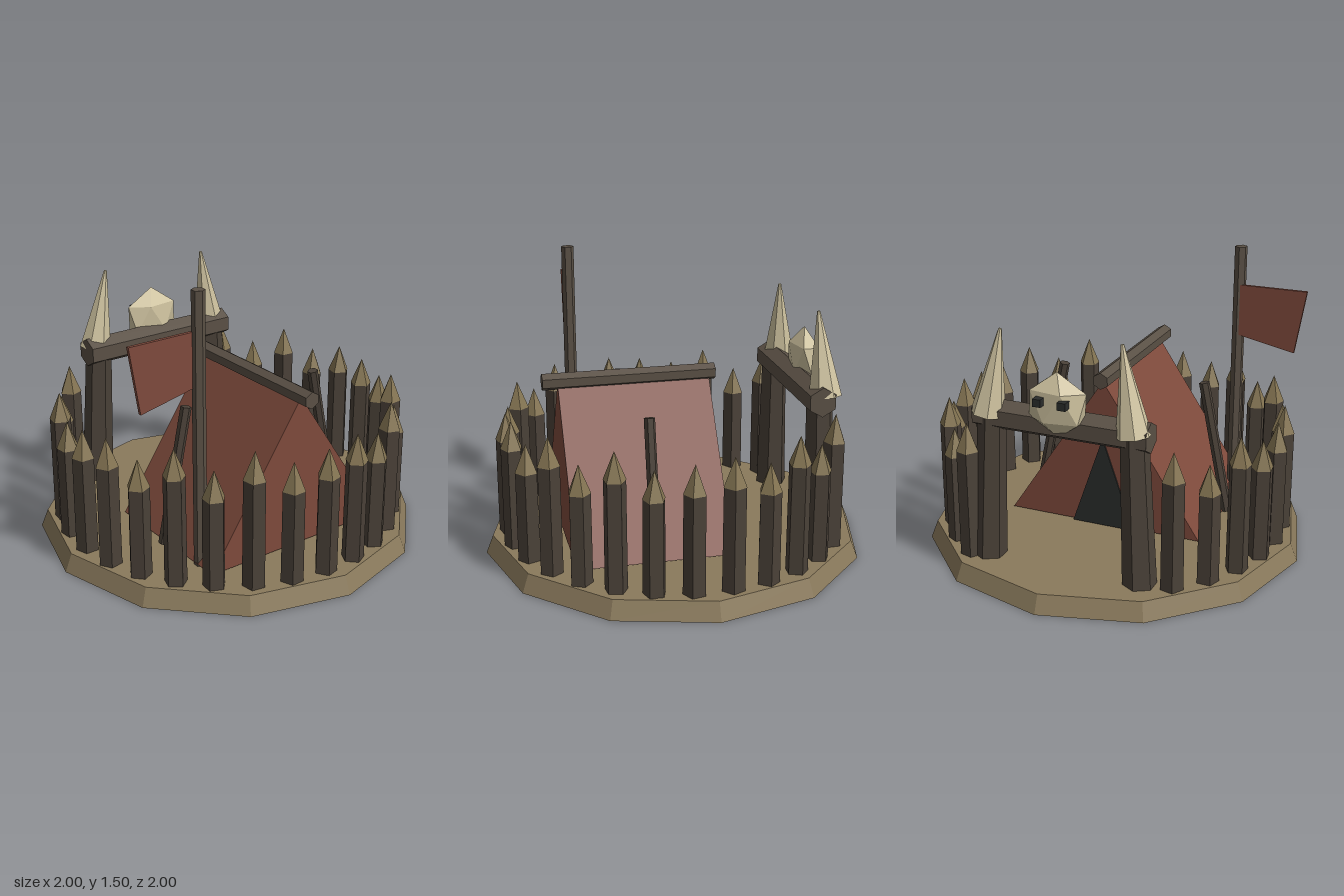
import * as THREE from 'three';

const mat = (color) => new THREE.MeshStandardMaterial({ color, flatShading: true });
const V = (x, y, z) => new THREE.Vector3(x, y, z);

export function createModel() {
  const group = new THREE.Group();
  const earth = mat(0x8a7a5c), wood = mat(0x5a5045), darkWood = mat(0x4a4138), tipWood = mat(0x857553);
  const cloth = mat(0x7e4a3c), bone = mat(0xcfc3a0), dark = mat(0x2a2c2b);

  const add = (name, geometry, material, x = 0, y = 0, z = 0) => {
    const mesh = new THREE.Mesh(geometry, material);
    mesh.name = name;
    mesh.position.set(x, y, z);
    group.add(mesh);
    return mesh;
  };

  // Faceted pole running from point a to point b
  const pole = (name, a, b, rTop, rBottom, material, sides = 6) => {
    const dir = b.clone().sub(a);
    const mesh = add(name, new THREE.CylinderGeometry(rTop, rBottom, dir.length(), sides), material);
    mesh.position.copy(a).add(b).multiplyScalar(0.5);
    mesh.quaternion.setFromUnitVectors(V(0, 1, 0), dir.normalize());
    return mesh;
  };

  // Flat outline given thickness along z, centred on z
  const slab = (name, points, depth, material, z) => {
    const shape = new THREE.Shape(points.map(([x, y]) => new THREE.Vector2(x, y)));
    const geometry = new THREE.ExtrudeGeometry(shape, { depth, bevelEnabled: false });
    return add(name, geometry, material, 0, 0, z - depth / 2);
  };

  // Twelve-sided earth mound
  add('base', new THREE.CylinderGeometry(0.963, 1, 0.093, 12), earth, 0, 0.0465, 0);

  // Palisade ring, open at the back for the gate
  const tops = [0.745, 0.765, 0.705, 0.795, 0.7, 0.795, 0.717];
  const step = (Math.PI * 2) / 29, tipHeight = 0.145, floor = 0.08;
  for (let i = -4; i <= 19; i++) {
    const angle = Math.PI - i * step;
    const x = 0.868 * Math.cos(angle), z = 0.868 * Math.sin(angle);
    const top = tops[(i + 7) % 7], shoulder = top - tipHeight;
    const body = new THREE.CylinderGeometry(0.056, 0.058, shoulder - floor, 5);
    const stake = add('stake', body, darkWood, x, (shoulder + floor) / 2, z);
    const tip = add('stakeTip', new THREE.ConeGeometry(0.058, tipHeight, 5), tipWood, x, top - tipHeight / 2, z);
    stake.rotation.y = tip.rotation.y = -angle;
  }

  // Tent with its entrance facing the gate
  slab('tent', [[-0.53, 0.107], [0.53, 0.107], [0, 0.9]], 0.79, cloth, 0.205);
  slab('tentOpening', [[-0.17, 0.1], [0.17, 0.1], [0, 0.59]], 0.012, dark, -0.192);
  const ridge = add('ridgePole', new THREE.CylinderGeometry(0.044, 0.044, 0.9, 6), wood, 0, 0.91, 0.23);
  ridge.rotation.x = Math.PI / 2;

  // Flag on its pole
  pole('flagPole', V(-0.5, 0.09, 0.46), V(-0.5, 1.5, 0.46), 0.033, 0.033, wood);
  slab('flag', [[-0.5, 1.3], [-0.867, 1.3], [-0.813, 0.965], [-0.5, 1.03]], 0.018, cloth, 0.442);

  // Paired tent props, gate posts and horns
  for (const s of [-1, 1]) {
    pole('tentProp', V(s * 0.55, 0.11, 0.21), V(s * 0.403, 0.82, 0.21), 0.028, 0.028, darkWood);
    pole('gatePost', V(s * 0.405, 0.085, -0.68), V(s * 0.37, 0.87, -0.67), 0.068, 0.085, darkWood);
    pole('horn', V(s * 0.378, 0.855, -0.695), V(s * 0.31, 1.28, -0.67), 0.008, 0.086, bone, 7);
  }

  // Gate beam
  const beam = add('gateBeam', new THREE.CylinderGeometry(0.077, 0.077, 0.9, 6), wood, 0, 0.846, -0.662);
  beam.rotation.set(0, Math.PI / 2, Math.PI / 2, 'ZYX');

  // Faceted skull on the beam, looking outward
  const skull = new THREE.IcosahedronGeometry(1, 0).rotateZ(0.5536).scale(0.167, 0.163, 0.08);
  add('skull', skull, bone, 0, 0.957, -0.71);
  for (const s of [-1, 1]) {
    add('eyeSocket', new THREE.BoxGeometry(0.042, 0.038, 0.05), dark, s * 0.063, 0.988, -0.778);
  }

  return group;
}
